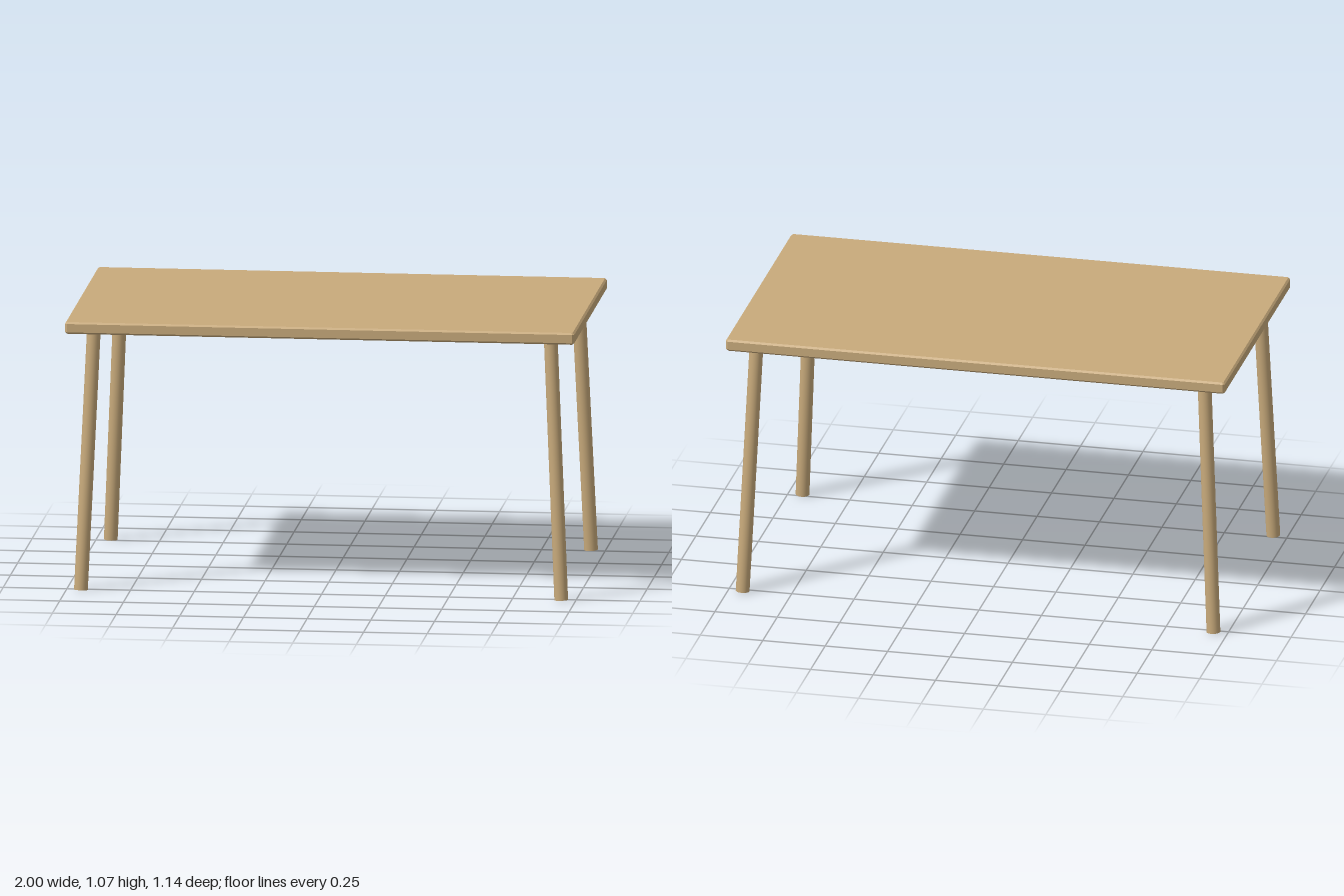
import * as THREE from 'three';

const wood = new THREE.MeshStandardMaterial({ color: 0xc8aa7b });
wood.name = 'light wood';

// Slab with chamfered rims and clipped corners
function createTop(width, depth, bottom, top, chamfer) {
  const w = width / 2 - chamfer, d = depth / 2 - chamfer, c = chamfer * 0.6;
  const outline = new THREE.Shape([
    [-w + c, -d], [w - c, -d], [w, -d + c], [w, d - c],
    [w - c, d], [-w + c, d], [-w, d - c], [-w, -d + c],
  ].map(([x, y]) => new THREE.Vector2(x, y)));
  const geometry = new THREE.ExtrudeGeometry(outline, {
    depth: top - bottom - 2 * chamfer,
    bevelEnabled: true,
    bevelSize: chamfer,
    bevelThickness: chamfer,
    bevelSegments: 1,
  });
  geometry.rotateX(-Math.PI / 2).translate(0, bottom + chamfer, 0);
  const mesh = new THREE.Mesh(geometry, wood);
  mesh.name = 'tableTop';
  return mesh;
}

// Round leg running from its foot up to the slab
function createLeg(foot, head, radius) {
  const axis = head.clone().sub(foot);
  const mesh = new THREE.Mesh(new THREE.CylinderGeometry(radius, radius, axis.length(), 24), wood);
  mesh.position.copy(foot).add(head).multiplyScalar(0.5);
  mesh.quaternion.setFromUnitVectors(new THREE.Vector3(0, 1, 0), axis.normalize());
  return mesh;
}

export function createModel() {
  const table = new THREE.Group();
  table.name = 'table';
  table.add(createTop(2, 1.14, 1.026, 1.073, 0.007));

  // Four splayed legs, mirrored about both axes
  for (const sx of [-1, 1]) {
    for (const sz of [-1, 1]) {
      const leg = createLeg(
        new THREE.Vector3(sx * 0.943, 0.0017, sz * 0.516),
        new THREE.Vector3(sx * 0.897, 1.03, sz * 0.473),
        0.027,
      );
      leg.name = (sz > 0 ? 'front' : 'back') + (sx > 0 ? 'Left' : 'Right') + 'Leg';
      table.add(leg);
    }
  }
  return table;
}
